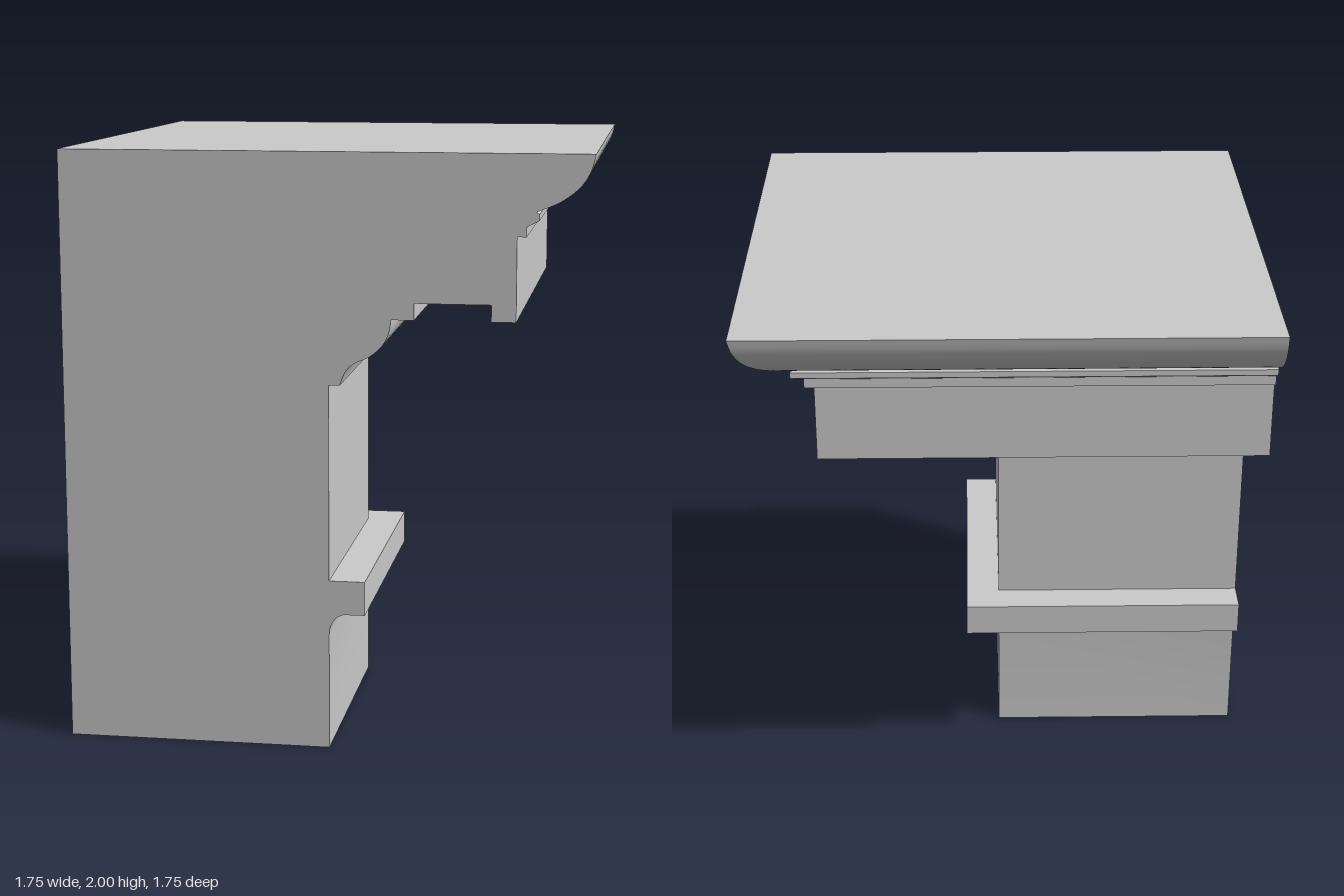
import * as THREE from 'three';
import { toCreasedNormals } from 'three/addons/utils/BufferGeometryUtils.js';

const W = 0.875; // distance of the two flat cut faces from the centre
const material = new THREE.MeshStandardMaterial({ color: 0xcccccc });

// Points along a smooth curve through a few profile points
const smooth = (pts, n = 20) =>
  new THREE.SplineCurve(pts.map(([x, y]) => new THREE.Vector2(x, y))).getPoints(n).map((v) => [v.x, v.y]);

// Quarter cove from a to b
const cove = (a, c, b) =>
  new THREE.QuadraticBezierCurve(...[a, c, b].map((p) => new THREE.Vector2(...p))).getPoints(8).map((v) => [v.x, v.y]);

// One leg of the moulding: the profile swept from the cut face to the mitre, plus its cut face
function legGeometry(profile, mirrored) {
  const pos = [];
  const tri = (a, b, c) => {
    for (const [x, y, z] of mirrored ? [a, c, b] : [a, b, c]) {
      if (mirrored) pos.push(-z, y, -x);
      else pos.push(x, y, z);
    }
  };
  for (let i = 0; i < profile.length - 1; i++) {
    const [p0, y0] = profile[i];
    const [p1, y1] = profile[i + 1];
    const a = [p0, y0, W], b = [p0, y0, -p0], c = [p1, y1, -p1], d = [p1, y1, W];
    tri(a, b, c);
    tri(a, c, d);
  }
  const outline = [[-W, profile[0][1]], ...profile, [-W, profile.at(-1)[1]]];
  const contour = outline.map(([x, y]) => new THREE.Vector2(x, y));
  for (const face of THREE.ShapeUtils.triangulateShape(contour, [])) {
    tri(...face.map((i) => [...outline[i], W]));
  }
  const geometry = new THREE.BufferGeometry();
  geometry.setAttribute('position', new THREE.Float32BufferAttribute(pos, 3));
  return toCreasedNormals(geometry, 0.5);
}

// A band of the corner: two legs meeting at a mitre
function band(name, profile) {
  const group = new THREE.Group();
  group.name = name;
  for (const mirrored of [false, true]) {
    const mesh = new THREE.Mesh(legGeometry(profile, mirrored), material);
    mesh.name = name + (mirrored ? 'BackLeg' : 'SideLeg');
    group.add(mesh);
  }
  return group;
}

// Square end face reaching out to p
function endFace(name, p, y, up) {
  const size = W + p;
  const mesh = new THREE.Mesh(new THREE.PlaneGeometry(size, size), material);
  mesh.rotation.x = up ? -Math.PI / 2 : Math.PI / 2;
  mesh.position.set((p - W) / 2, y, (W - p) / 2);
  mesh.name = name;
  return mesh;
}

export function createModel() {
  const model = new THREE.Group();
  model.name = 'corniceCorner';

  model.add(
    // Shaft foot flaring into the collar
    band('lowerShaft', [[0.02, 0], ...cove([0.02, 0.395], [0.022, 0.452], [0.07, 0.465])]),
    band('collar', [[0.07, 0.465], [0.14, 0.465], [0.14, 0.58], [0.02, 0.58]]),
    band('upperShaft', [[0.02, 0.58], [0.02, 1.24]]),
    // S-curved bed moulding
    band('bedMoulding', [
      [0.02, 1.24],
      ...smooth([[0.057, 1.24], [0.075, 1.285], [0.103, 1.313], [0.156, 1.338],
        [0.198, 1.376], [0.219, 1.42], [0.225, 1.46]], 24),
    ]),
    // Overhanging slab with a drip groove in its underside
    band('corona', [[0.225, 1.46], [0.30, 1.46], [0.30, 1.515], [0.55, 1.515],
      [0.55, 1.46], [0.63, 1.46], [0.63, 1.735]]),
    // Fillet and small bead
    band('fillet', [[0.63, 1.735], [0.66, 1.735], [0.66, 1.767], [0.70, 1.788], [0.70, 1.808], [0.69, 1.815]]),
    // Crown moulding
    band('crown', smooth([[0.69, 1.815], [0.765, 1.847], [0.825, 1.892], [0.86, 1.945], [0.875, 2]])),
    endFace('topFace', 0.875, 2, true),
    endFace('bottomFace', 0.02, 0, false),
  );
  return model;
}
